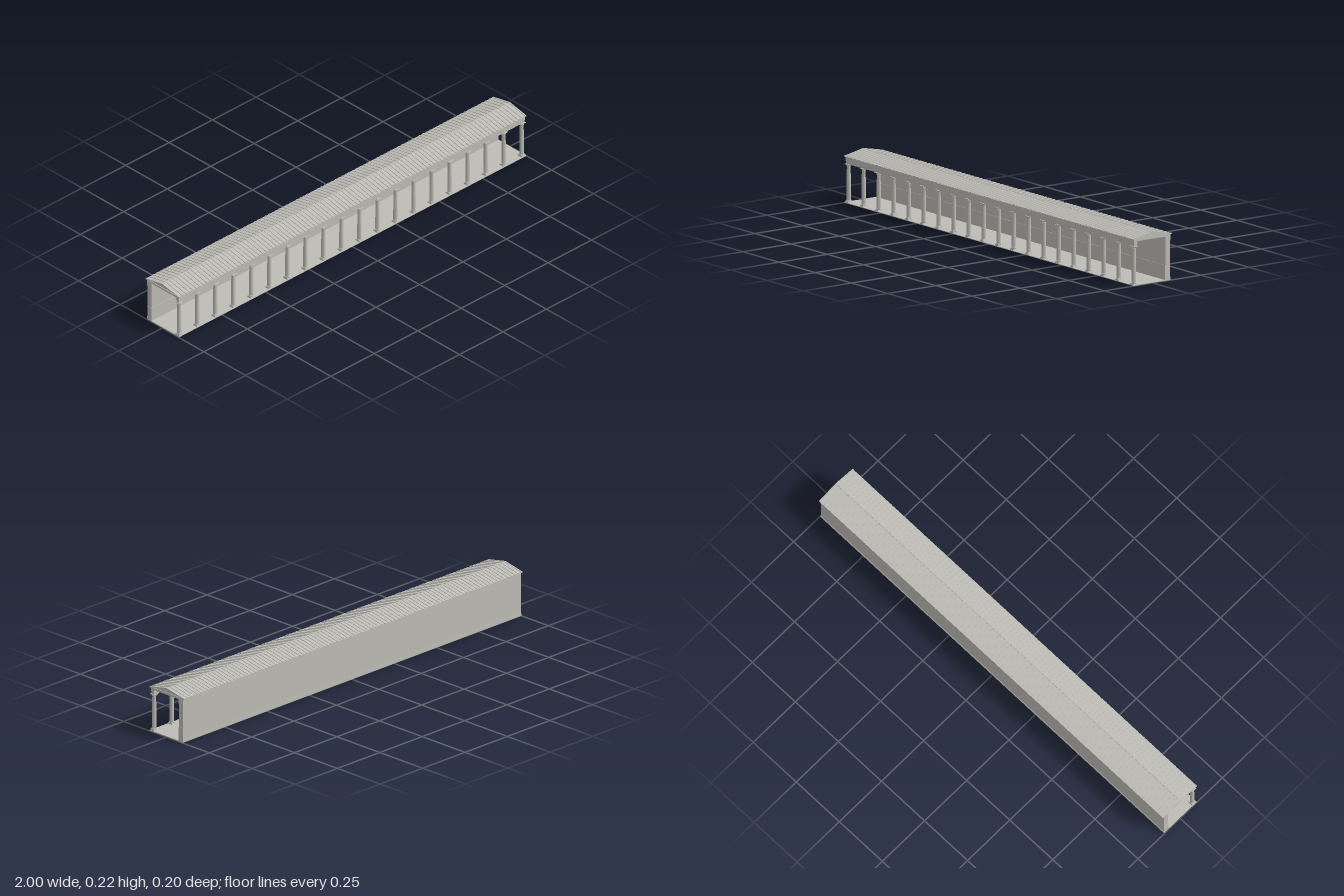
import * as THREE from 'three';
import { mergeGeometries, toCreasedNormals } from 'three/addons/utils/BufferGeometryUtils.js';

const COLUMN_COUNT = 20, COLUMN_Z = 0.0865, COLUMN_END = 0.985;
const RIB_COUNT = 100;

export function createModel() {
  const model = new THREE.Group();
  model.name = 'colonnade';
  const stone = new THREE.MeshStandardMaterial({ color: 0xbdbcb6 });
  stone.name = 'grey stone';

  const add = (name, geometry, parent = model) => {
    const mesh = new THREE.Mesh(geometry, stone);
    mesh.name = name;
    parent.add(mesh);
    return mesh;
  };
  // Box given by its half length in x and its limits in y and z
  const bar = (name, half, y0, y1, z0, z1) => {
    const g = new THREE.BoxGeometry(half * 2, y1 - y0, z1 - z0);
    g.translate(0, (y0 + y1) / 2, (z0 + z1) / 2);
    return add(name, g);
  };

  // Floor, back wall with its dado and mouldings
  bar('floor', 0.998, 0, 0.003, -0.094, 0.1);
  bar('backWall', 0.996, 0.003, 0.188, -0.093, -0.0685);
  bar('innerDado', 0.9975, 0.003, 0.065, -0.09, -0.0665);
  bar('outerPlinth', 0.9975, 0.003, 0.014, -0.0945, -0.09);
  bar('wallCrown', 0.9975, 0.167, 0.188, -0.094, -0.067);

  // Beam on the columns, ceiling and cornice
  bar('architrave', 0.994, 0.166, 0.178, 0.0785, 0.0935);
  bar('frieze', 0.996, 0.178, 0.188, 0.0775, 0.0945);
  bar('ceiling', 0.996, 0.187, 0.196, -0.095, 0.0955);
  bar('cornice', 0.999, 0.1945, 0.198, -0.099, 0.099);

  // Column: tapered square plinth, turned shaft, square abacus
  const plinth = new THREE.CylinderGeometry(0.0105 * Math.SQRT2, 0.0135 * Math.SQRT2, 0.009, 4, 1)
    .toNonIndexed();
  plinth.rotateY(Math.PI / 4).translate(0, 0.0045, 0);
  plinth.computeVertexNormals();
  const profile = [
    [0.0105, 0.009], [0.0115, 0.0105], [0.0112, 0.0125], [0.0094, 0.0135],
    [0.0094, 0.06], [0.0088, 0.11], [0.008, 0.156], [0.0093, 0.1565],
    [0.0093, 0.158], [0.0083, 0.1585], [0.0105, 0.162], [0.0115, 0.1635]
  ].map(([r, y]) => new THREE.Vector2(r, y));
  const shaft = toCreasedNormals(new THREE.LatheGeometry(profile, 16), 0.6);
  const abacus = new THREE.BoxGeometry(0.0245, 0.003, 0.0245);
  abacus.translate(0, 0.165, 0);
  for (let i = 0; i < COLUMN_COUNT; i++) {
    const column = new THREE.Group();
    column.name = 'column';
    column.position.set(-COLUMN_END + (2 * COLUMN_END * i) / (COLUMN_COUNT - 1), 0, COLUMN_Z);
    add('columnBase', plinth, column);
    add('columnShaft', shaft, column);
    add('columnAbacus', abacus, column);
    model.add(column);
  }

  // Triangular prism running along x
  const prism = (points, length) => {
    const shape = new THREE.Shape(points.map(([z, y]) => new THREE.Vector2(z, y)));
    const g = new THREE.ExtrudeGeometry(shape, { depth: length, bevelEnabled: false });
    return g.translate(0, 0, -length / 2).rotateY(Math.PI / 2);
  };
  // Solid gable body with a slightly longer roof skin
  add('gables', prism([[-0.096, 0.197], [0.096, 0.197], [0, 0.2155]], 1.992));
  add('roofSlopes', prism([
    [-0.1, 0.1965], [-0.096, 0.1965], [0, 0.2145], [0.096, 0.1965],
    [0.1, 0.1965], [0.1, 0.1975], [0, 0.2172]
  ], 2));

  // Rows of raised cover tiles on both slopes
  const angle = Math.atan(0.2), ribs = [];
  for (const side of [-1, 1]) {
    for (let i = 0; i < RIB_COUNT; i++) {
      const rib = new THREE.BoxGeometry(0.007, 0.003, 0.1015);
      rib.rotateX(side * angle);
      rib.translate(-0.9965 + (1.993 * i) / (RIB_COUNT - 1), 0.2078, side * 0.0499);
      ribs.push(rib);
    }
  }
  add('roofRibs', mergeGeometries(ribs));

  // Ridge cap
  const ridge = new THREE.CylinderGeometry(0.003, 0.003, 2, 8);
  ridge.rotateZ(Math.PI / 2).translate(0, 0.2162, 0);
  add('ridgeCap', ridge);

  return model;
}
